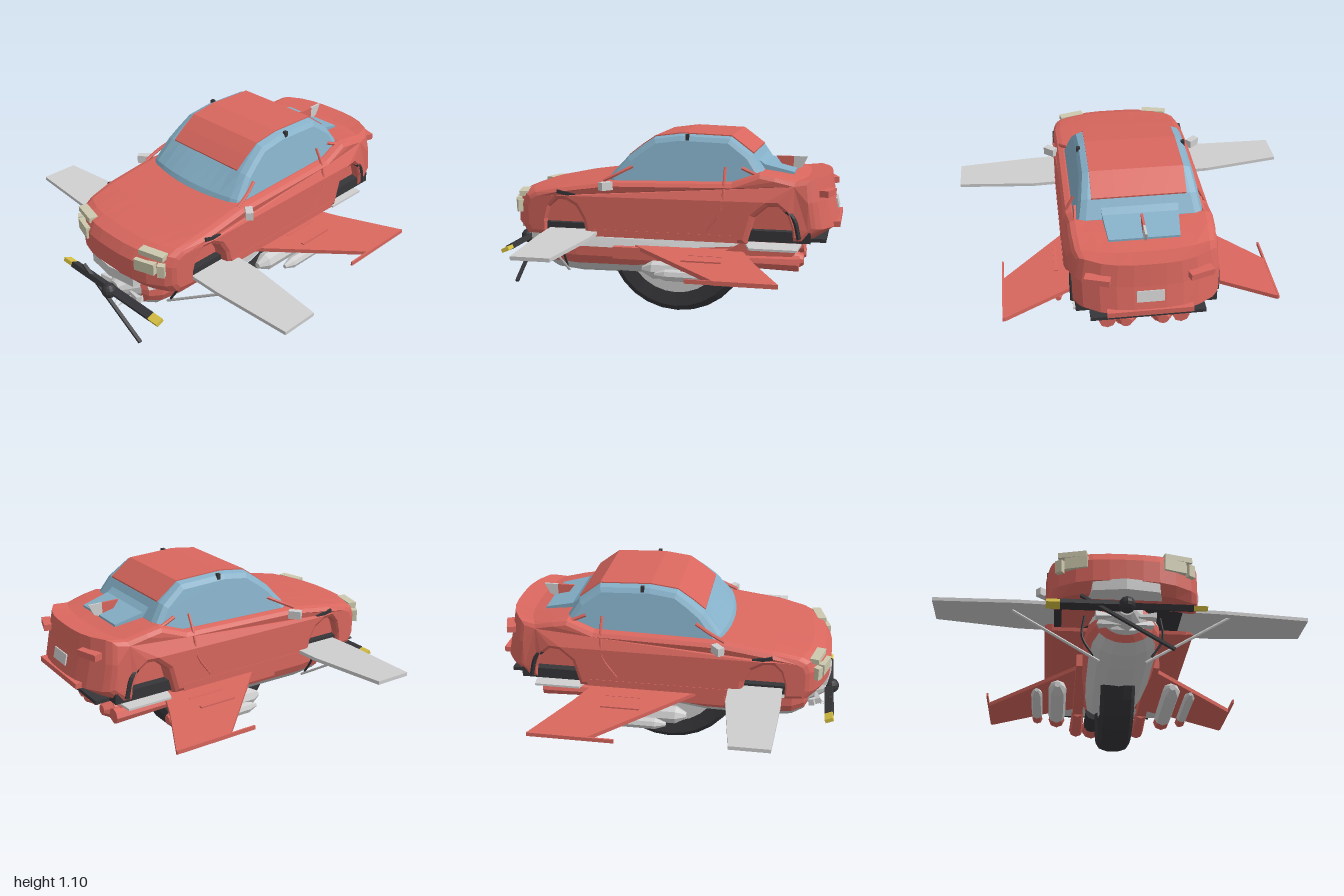
import * as THREE from 'three';

const mat = (name, color, side = THREE.FrontSide) => {
  const m = new THREE.MeshStandardMaterial({ color, flatShading: true, side });
  m.name = name;
  return m;
};
const red = mat('red paint', 0xd9675e);
const blue = mat('blue glass', 0x85b0c8);
const grey = mat('light grey metal', 0xcfcfcf);
const black = mat('black rubber', 0x36363a);
const yellow = mat('yellow tips', 0xd9c244);
const cream = mat('cream lamps', 0xcdc9ae);
const clamp = THREE.MathUtils.clamp;

export function createModel() {
  const model = new THREE.Group();
  model.name = 'flyingCar';

  const add = (name, geo, material, x = 0, y = 0, z = 0, parent = model) => {
    const m = new THREE.Mesh(geo, material);
    m.name = name;
    m.position.set(x, y, z);
    parent.add(m);
    return m;
  };
  const box = (name, material, w, h, d, x, y, z, parent) =>
    add(name, new THREE.BoxGeometry(w, h, d), material, x, y, z, parent);
  const toShape = pts => new THREE.Shape(pts.map(p => new THREE.Vector2(p[0], p[1])));

  // Side profile of [z, y] points, extruded across x to a half width, then warped
  const profile = (pts, half, bevel = 0, warp = null) => {
    const depth = 2 * (half - bevel);
    const g = new THREE.ExtrudeGeometry(toShape(pts), {
      depth, steps: 8, bevelEnabled: bevel > 0, bevelThickness: bevel,
      bevelSize: bevel * 0.7, bevelOffset: -bevel * 0.7, bevelSegments: 2,
    });
    g.translate(0, 0, -depth / 2).rotateY(-Math.PI / 2);
    if (warp) {
      const p = g.attributes.position, v = new THREE.Vector3();
      for (let i = 0; i < p.count; i++) {
        warp(v.fromBufferAttribute(p, i));
        p.setXYZ(i, v.x, v.y, v.z);
      }
      g.computeVertexNormals();
    }
    return g;
  };
  // Flat plate from [x, z] points, top at y = 0
  const plate = (pts, t) =>
    new THREE.ExtrudeGeometry(toShape(pts), { depth: t, bevelEnabled: false }).rotateX(Math.PI / 2);
  const rod = (name, material, pts, r, sides = 6) => add(name, new THREE.TubeGeometry(
    new THREE.CatmullRomCurve3(pts.map(p => new THREE.Vector3(...p))), 8, r, sides), material);
  // Tapered cylinder along z, from z0 (front) to z1 (back)
  const barrel = (name, material, x, y, z0, z1, r0, r1, sides = 10) => add(name,
    new THREE.CylinderGeometry(r0, r1, z0 - z1, sides).rotateX(Math.PI / 2), material, x, y, (z0 + z1) / 2);

  // Car body with open wheel arches
  add('carBody', profile([
    [0.86, 0.51], [0.905, 0.56], [0.905, 0.68], [0.87, 0.735], [0.8, 0.76], [0.6, 0.79], [0.3, 0.83],
    [-0.4, 0.845], [-0.55, 0.9], [-0.65, 0.885], [-0.8, 0.86], [-0.92, 0.872], [-0.94, 0.75], [-0.975, 0.6],
    [-0.93, 0.57], [-0.86, 0.53], [-0.79, 0.53], [-0.78, 0.6], [-0.74, 0.68], [-0.67, 0.72], [-0.6, 0.72],
    [-0.53, 0.66], [-0.49, 0.51], [0.42, 0.51], [0.44, 0.61], [0.48, 0.68], [0.54, 0.715], [0.61, 0.715],
    [0.67, 0.67], [0.7, 0.6], [0.7, 0.51],
  ], 0.41, 0.04, v => {
    const u = Math.abs(v.x / 0.41) ** 3;
    const front = clamp((v.z - 0.55) / 0.35, 0, 1), rear = clamp((-0.6 - v.z) / 0.37, 0, 1);
    v.z += 0.12 * u * (rear - front);
    v.x *= 1 - 0.08 * front - 0.1 * rear - 0.5 * Math.max(0, v.y - 0.75);
  }), red);
  box('archLiner', red, 0.64, 0.2, 1.5, 0, 0.63, -0.05);
  box('frontFloor', black, 0.72, 0.05, 0.28, 0, 0.555, 0.56);
  box('rearFloor', black, 0.74, 0.06, 0.34, 0, 0.555, -0.66);
  box('rearUnderside', black, 0.6, 0.02, 0.14, 0, 0.53, -0.84);

  // Glass cabin, roof skin and rear window
  const roofLine = [[0.2, 0.96], [0.13, 1.015], [0.05, 1.07], [-0.1, 1.09], [-0.38, 1.08], [-0.5, 0.99]];
  const narrow = v => {
    v.x *= 1 - 0.6 * Math.max(0, v.y - 0.82);
    if (v.z > 0.2) v.z += (v.z - 0.2) * 0.45 * (1 - (v.x / 0.33) ** 2);
  };
  add('cabinGlass', profile([[0.31, 0.8], [0.29, 0.85], ...roofLine, [-0.56, 0.9], [-0.58, 0.8]],
    0.35, 0.05, narrow), blue);
  add('roofPanel', profile([
    ...roofLine.map(([z, y]) => [z * 1.006, y + 0.006]), ...[...roofLine].reverse().map(([z, y]) => [z, y - 0.015]),
  ], 0.25), red);
  add('rearWindow', profile([[-0.5, 0.97], [-0.56, 0.925], [-0.72, 0.885], [-0.72, 0.86], [-0.5, 0.86]],
    0.2, 0, v => { v.x *= 1 + 0.5 * (v.z + 0.56); }), blue);
  add('tailFinFront', profile([[-0.6, 0.95], [-0.7, 0.95], [-0.7, 0.87], [-0.66, 0.87]], 0.006), red);
  add('tailFinBack', profile([[-0.7, 0.95], [-0.78, 0.95], [-0.75, 0.89], [-0.7, 0.87]], 0.006), grey);

  // Front grille, rear plate and bumper
  add('grille', plate([[-0.19, 0.8], [-0.17, 0.89], [0, 0.915], [0.17, 0.89], [0.19, 0.8]], 0.06), grey, 0, 0.565, 0);
  box('rearPlate', grey, 0.14, 0.06, 0.008, 0, 0.7, -0.957).rotation.x = 0.23;
  box('rearBumper', red, 0.44, 0.03, 0.04, 0, 0.61, -0.96);

  // Belly fuselage: lofted rings with coloured bands
  const rings = [[0.79, 0.11, 0.08, 0.39], [0.77, 0.15, 0.11, 0.385], [0.7, 0.185, 0.145, 0.38], [0.55, 0.2, 0.16, 0.38],
    [0.2, 0.2, 0.155, 0.38], [-0.1, 0.19, 0.13, 0.4], [-0.45, 0.16, 0.09, 0.43], [-0.78, 0.12, 0.05, 0.45]];
  const N = 18, pos = [], idx = [[], []];
  for (const [z, rx, ry, cy] of rings) for (let i = 0; i < N; i++) {
    const a = i / N * Math.PI * 2;
    pos.push(rx * Math.sin(a), cy - ry * Math.cos(a), z);
  }
  for (let r = 0; r < rings.length - 1; r++) for (let i = 0; i < N; i++) {
    const j = (i + 1) % N, a = r * N + i, b = r * N + j;
    const k = Math.min(i, N - 1 - i);
    const band = r > 0 && (k < 3 || k === 5 || k === 6) && r < 6 ? 1 : 0;
    idx[band].push(a, a + N, b, b, a + N, b + N);
  }
  const hull = new THREE.BufferGeometry();
  hull.setAttribute('position', new THREE.Float32BufferAttribute(pos, 3));
  hull.setIndex([...idx[0], ...idx[1]]);
  hull.addGroup(0, idx[0].length, 0);
  hull.addGroup(idx[0].length, idx[1].length, 1);
  hull.computeVertexNormals();
  const hullMats = [mat('red hull', 0xd9675e, THREE.DoubleSide), mat('grey hull', 0xcfcfcf, THREE.DoubleSide)];
  add('fuselage', hull, hullMats);
  barrel('noseCowl', grey, 0, 0.41, 0.89, 0.77, 0.04, 0.11, 12);

  // Exhaust spikes around the nose
  for (let i = 0; i < 6; i++) {
    const s = add('noseSpike', new THREE.ConeGeometry(0.025, 0.13, 4), grey);
    const a = Math.PI * (0.95 + i * 0.22);
    s.position.set(Math.cos(a) * 0.09, 0.38 + Math.sin(a) * 0.07, 0.84);
    s.rotation.set(Math.PI / 2 + 0.5, 0, a + Math.PI / 2);
  }

  // Single large wheel
  const tyre = [[0.3, -0.08], [0.38, -0.095], [0.41, -0.075], [0.425, -0.03], [0.425, 0.03], [0.41, 0.075], [0.38, 0.095], [0.3, 0.08]];
  add('tyre', new THREE.LatheGeometry(tyre.map(p => new THREE.Vector2(...p)), 28).rotateZ(Math.PI / 2),
    black, 0, 0.425, -0.03);
  add('wheelDisc', new THREE.CylinderGeometry(0.305, 0.305, 0.14, 28).rotateZ(Math.PI / 2), grey, 0, 0.425, -0.03);

  // Propellers
  add('propHub', new THREE.SphereGeometry(0.043, 12, 8), black, 0, 0.41, 0.925);
  const thinProp = box('lowerPropeller', black, 0.54, 0.014, 0.02, 0, 0.32, 0.915);
  thinProp.rotation.z = -0.547;

  // Front wing, slightly banked
  const wing = add('frontWing', plate([[-1, 0.62], [-0.55, 0.645], [0.55, 0.645], [1, 0.62],
    [1, 0.41], [0.55, 0.35], [-0.55, 0.35], [-1, 0.41]], 0.02), grey, 0, 0.558, 0);
  wing.rotation.z = -0.025;

  for (const s of [1, -1]) {
    const flip = pts => pts.map(([x, ...rest]) => [s * x, ...rest]);

    // Propeller blades
    box('propBlade', black, 0.31, 0.03, 0.045, s * 0.175, 0.41, 0.91).rotation.x = s * 0.4;
    box('propTip', yellow, 0.07, 0.022, 0.046, s * 0.365, 0.41, 0.91).rotation.x = s * 0.4;

    // Wing struts
    rod('wingStrut', grey, flip([[0.58, 0.53, 0.6], [0.35, 0.385, 0.61], [0.12, 0.24, 0.62]]), 0.008);
    rod('strutBrace', black, flip([[0.2, 0.5, 0.62], [0.212, 0.38, 0.62], [0.15, 0.27, 0.62]]), 0.007);

    // Swept rear wing and tip rod
    const rear = add('rearWing', plate(flip([[0.1, 0.28], [0.41, -0.03], [0.75, -0.37], [0.75, -0.7], [0.41, -0.53], [0.1, -0.4]]), 0.024),
      red, 0, 0.437, 0);
    rear.rotation.z = -s * 0.055;
    box('wingTipRod', red, 0.01, 0.022, 0.48, s * 0.752, 0.387, -0.46);
    box('wingRoot', red, 0.06, 0.07, 0.75, s * 0.2, 0.385, -0.06);

    // Tail stabiliser and side plate
    add('tailPlane', plate(flip([[0.1, -0.42], [0.38, -0.5], [0.38, -0.76], [0.1, -0.78]]), 0.012), grey, 0, 0.487, 0);
    add('tailSidePlate', profile([[-0.3, 0.4], [-0.48, 0.5], [-0.82, 0.53], [-0.72, 0.41]], 0.01), red, s * 0.2);

    // Slung pods: inner large, outer small
    for (const [x, y, r, z] of [[0.33, 0.325, 0.052, 0.11], [0.45, 0.33, 0.033, 0.01]]) {
      barrel('podNose', grey, s * x, y, z, z - 0.06, r * 0.35, r, 8);
      barrel('podBody', grey, s * x, y, z - 0.06, -0.37, r, r, 8);
      barrel('podCollar', red, s * x, y, -0.37, -0.46, r * 0.85, r * 0.95, 8);
      barrel('podNozzle', red, s * x, y, -0.46, -0.5, r * 0.9, r * 0.5, 8);
      box('podPylon', red, 0.02, 0.08, 0.22, s * x, 0.38, -0.25);
    }

    // Rear jets
    barrel('jetBody', black, s * 0.1, 0.37, -0.42, -0.68, 0.05, 0.055);
    barrel('jetCollar', red, s * 0.1, 0.37, -0.64, -0.73, 0.055, 0.065);
    barrel('jetNozzle', red, s * 0.1, 0.37, -0.73, -0.78, 0.06, 0.03);
    barrel('sideJet', red, s * 0.2, 0.37, -0.42, -0.76, 0.035, 0.045, 8);

    // Headlamps, tail lamps and mirrors
    box('headlamp', cream, 0.12, 0.065, 0.04, s * 0.25, 0.67, 0.862).rotation.y = s * 0.3;
    box('sideLamp', cream, 0.04, 0.07, 0.07, s * 0.325, 0.665, 0.815).rotation.y = s * 0.6;
    box('upperLamp', cream, 0.15, 0.03, 0.05, s * 0.27, 0.735, 0.825).rotation.y = s * 0.25;
    box('tailLamp', red, 0.13, 0.035, 0.05, s * 0.26, 0.79, -0.91).rotation.y = -s * 0.3;
    box('mirror', grey, 0.07, 0.045, 0.04, s * 0.43, 0.81, 0.29).rotation.y = -s * 0.7;

    // Side trim
    box('roofKnob', black, 0.02, 0.08, 0.02, s * 0.288, 1.05, -0.14);
    box('fenderVent', black, 0.012, 0.02, 0.11, s * 0.4, 0.755, 0.53).rotation.x = -0.2;
    box('sideSill', red, 0.02, 0.04, 0.84, s * 0.402, 0.54, -0.02);
    rod('pillarTrim', red, flip([[0.335, 0.91, 0.16], [0.36, 0.87, 0.24], [0.37, 0.83, 0.32]]), 0.01);
    rod('doorSeam', red, flip([[0.335, 0.92, -0.36], [0.385, 0.82, -0.36], [0.406, 0.7, -0.35], [0.406, 0.58, -0.27]]), 0.008);
    rod('rearPillar', red, flip([[0.335, 0.92, -0.45], [0.34, 0.89, -0.52], [0.35, 0.88, -0.56]]), 0.01);
    rod('archTrim', black, flip([[0.375, 0.71, -0.69], [0.38, 0.66, -0.74], [0.38, 0.55, -0.77]]), 0.014);
  }
  return model;
}
